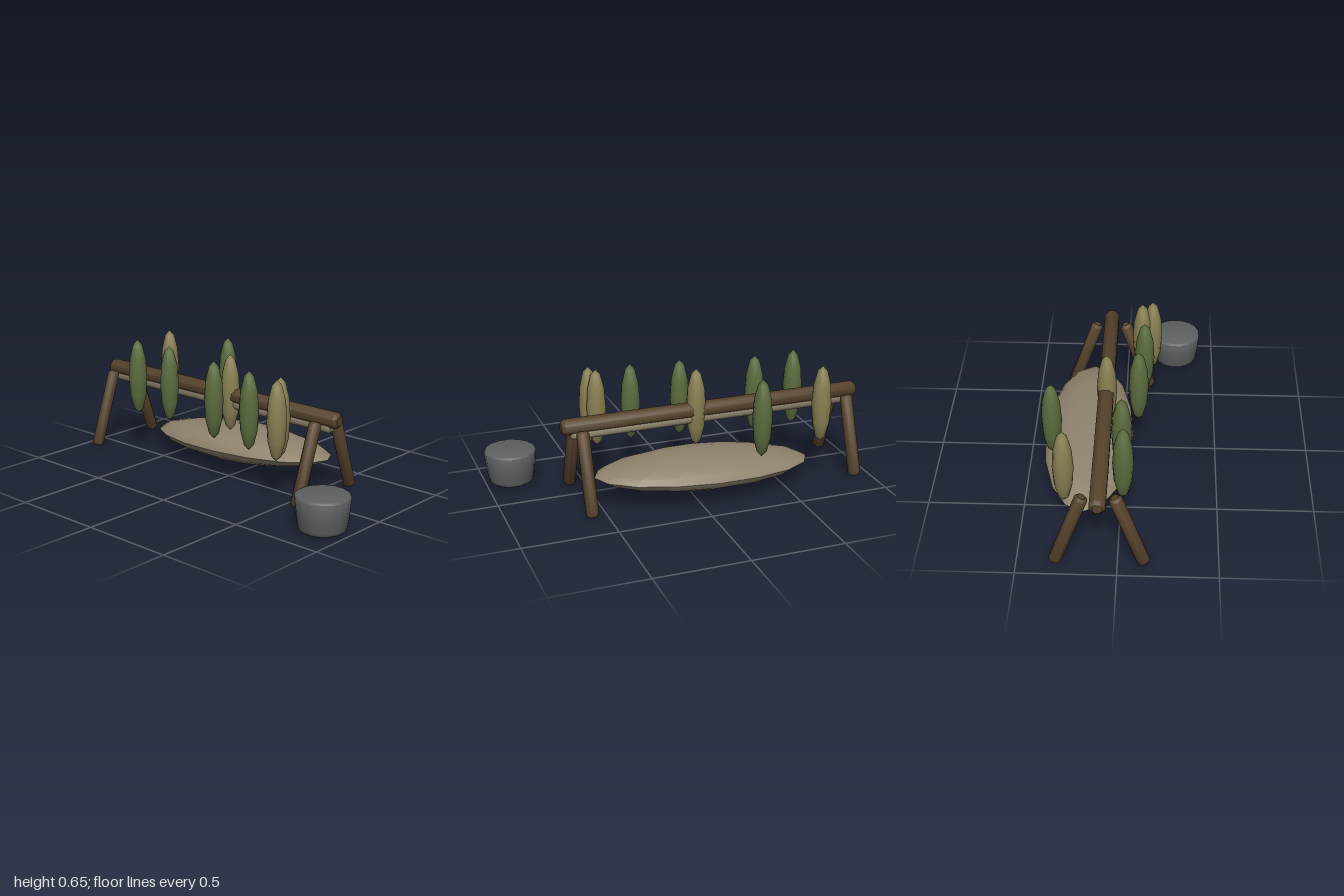
import * as THREE from 'three';
import { toCreasedNormals } from 'three/addons/utils/BufferGeometryUtils.js';

const mat = (name, color) => {
  const m = new THREE.MeshStandardMaterial({ color });
  m.name = name;
  return m;
};

// Solid of revolution from [radius, height] pairs, bottom to top
const turned = (profile, sides, crease) => toCreasedNormals(
  new THREE.LatheGeometry(profile.map(([r, y]) => new THREE.Vector2(r, y)), sides, Math.PI / sides), crease);

export function createModel() {
  const group = new THREE.Group();
  const wood = mat('dark wood', 0x57432c);
  const hide = mat('pale hide', 0x8f836d);
  const green = mat('leaf green', 0x5b6c3e);
  const olive = mat('dry olive', 0x898053);
  const iron = mat('grey iron', 0x5d6161);

  const add = (name, geometry, material, x = 0, y = 0, z = 0) => {
    const mesh = new THREE.Mesh(geometry, material);
    mesh.name = name;
    mesh.position.set(x, y, z);
    group.add(mesh);
    return mesh;
  };

  // Octagonal pole with chamfered ends between two points
  const pole = (name, from, to, r, material) => {
    const a = new THREE.Vector3(...from), b = new THREE.Vector3(...to);
    const h = a.distanceTo(b) / 2, c = r * 0.4;
    const geo = turned([[0, -h], [r - c, -h], [r, -h + c], [r, h - c], [r - c, h], [0, h]], 8, 0.8);
    const mesh = add(name, geo, material, ...a.clone().add(b).multiplyScalar(0.5).toArray());
    mesh.quaternion.setFromUnitVectors(new THREE.Vector3(0, 1, 0), b.sub(a).normalize());
  };

  // Rack: ridge beam, thin rail beneath it, two splayed leg pairs
  pole('ridgeBeam', [-1, 0.428, -0.09], [0.673, 0.428, -0.09], 0.043, wood);
  pole('lowerRail', [-0.95, 0.385, -0.09], [0.625, 0.385, -0.09], 0.031, hide);
  for (const x of [-0.91, 0.58]) {
    pole('frontLeg', [x, 0.008, 0.134], [x, 0.427, -0.012], 0.034, wood);
    pole('backLeg', [x, 0.008, -0.314], [x, 0.427, -0.168], 0.034, wood);
  }

  // Hanging leaf bundles
  const leafGeo = new THREE.SphereGeometry(1, 12, 6);
  leafGeo.scale(0.053, 0.213, 0.053);
  const leaves = [
    [-0.71, -0.272, olive], [-0.675, 0.02, green], [-0.44, 0.005, green],
    [-0.33, -0.357, green], [-0.067, -0.086, olive], [-0.035, 0.08, green],
    [0.235, 0.105, green], [0.43, 0.088, olive], [0.455, 0.145, olive],
  ];
  for (const [x, z, m] of leaves) add('hangingLeaf', leafGeo, m, x, 0.441, z);

  // Slung hide: flattened lens, thinner at the ends, one end raised
  const hideGeo = new THREE.SphereGeometry(1, 16, 8);
  const p = hideGeo.attributes.position;
  for (let i = 0; i < p.count; i++) {
    const u = p.getX(i);
    p.setXYZ(i, u * 0.6, p.getY(i) * 0.09 * (1 - 0.3 * u * u) + 0.025 * u, p.getZ(i) * 0.236);
  }
  add('slungHide', toCreasedNormals(hideGeo, 0.6), hide, -0.07, 0.14, -0.184);

  // Closed bucket with softened rims
  add('bucket', turned([
    [0, 0.01], [0.106, 0.01], [0.118, 0.018], [0.123, 0.035], [0.132, 0.1],
    [0.139, 0.183], [0.135, 0.19], [0.128, 0.193], [0, 0.193],
  ], 16, 0.7), iron, 0.862, 0, 0.281);

  return group;
}
